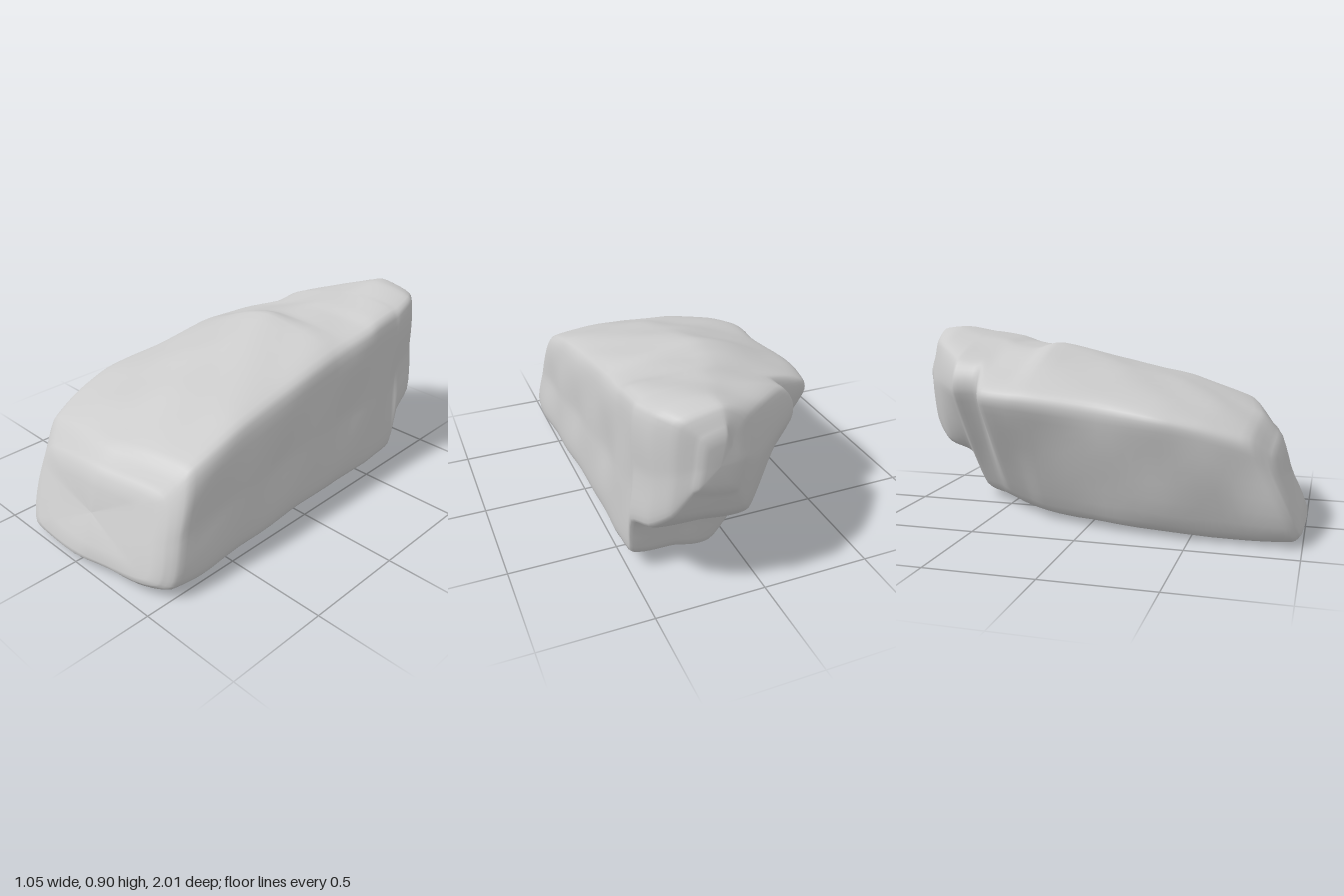
import * as THREE from 'three';

// Cross-sections from front to back:
// z, base y, base left x, left x, left y, top-left y, crown y, top-right y, right x
const SECTIONS = [
  [0.93, 0.045, -0.31, -0.38, 0.30, 0.40, 0.44, 0.43, 0.45],
  [0.885, 0.02, -0.34, -0.44, 0.41, 0.49, 0.53, 0.53, 0.50],
  [0.71, 0.015, -0.35, -0.49, 0.47, 0.55, 0.60, 0.59, 0.505],
  [0.40, 0.02, -0.34, -0.52, 0.51, 0.59, 0.665, 0.635, 0.50],
  [0.10, 0.03, -0.30, -0.48, 0.53, 0.64, 0.745, 0.69, 0.49],
  [-0.23, 0.03, -0.20, -0.475, 0.56, 0.68, 0.835, 0.75, 0.485],
  [-0.34, 0.03, -0.12, -0.47, 0.57, 0.68, 0.81, 0.77, 0.485],
  [-0.48, 0.04, -0.02, -0.43, 0.58, 0.69, 0.815, 0.79, 0.49],
  [-0.56, 0.05, 0.04, -0.27, 0.60, 0.75, 0.835, 0.81, 0.49],
  [-0.68, 0.07, 0.10, -0.26, 0.60, 0.76, 0.855, 0.83, 0.49],
  [-0.72, 0.25, 0.02, -0.22, 0.60, 0.77, 0.865, 0.835, 0.49],
  [-0.85, 0.31, 0.02, -0.08, 0.62, 0.81, 0.89, 0.855, 0.46],
  [-0.94, 0.40, 0.08, 0.03, 0.62, 0.81, 0.88, 0.84, 0.40],
  [-0.98, 0.52, 0.14, 0.11, 0.66, 0.76, 0.82, 0.79, 0.33],
];
const AROUND = 64;
const STEPS = 4; // rings per section

// Eight corners of one section, clockwise from the base left; the front leans and bows back
function corners([z, y0, bl, lx, ly, tl, top, tr, rx]) {
  const front = THREE.MathUtils.smoothstep(z, 0.3, 0.85);
  return [
    [bl, y0], [lx, ly], [lx + 0.06, tl], [Math.min((lx + rx) / 2 + 0.01, 0.2), top],
    [rx - 0.045 - 0.02 * z, tr], [rx - 0.005, (y0 + tr) / 2], [rx + 0.005, y0 + 0.03],
    [(bl + rx) / 2, y0],
  ].map(([x, y]) => new THREE.Vector3(x, y,
    z - front * (0.38 * (y - 0.3) + 0.18 * Math.abs(x + 0.1))));
}

// Gentle weathering made of layered waves
function weather(p) {
  const a = Math.sin(p.x * 9 + p.z * 5 + 1) * Math.sin(p.y * 11 - p.z * 7);
  const b = Math.sin(p.z * 15 + p.y * 8) * Math.sin(p.x * 17 - p.y * 6 + 2);
  return 0.004 * a + 0.005 * b;
}

function rockGeometry() {
  // Smooth lengthwise curves through the matching corners
  const grid = SECTIONS.map(corners);
  const rails = grid[0].map((_, k) =>
    new THREE.CatmullRomCurve3(grid.map((r) => r[k]), false, 'catmullrom', 0.3));
  const rings = [];
  const count = (SECTIONS.length - 1) * STEPS;
  for (let i = 0; i <= count; i++) {
    const loop = new THREE.CatmullRomCurve3(
      rails.map((r) => r.getPoint(i / count)), true, 'catmullrom', 0.3);
    rings.push(Array.from({ length: AROUND }, (_, j) => loop.getPoint(j / AROUND)));
  }

  // Close both ends with shrinking rings
  const centre = (ring) => ring.reduce((s, p) => s.add(p), new THREE.Vector3())
    .divideScalar(AROUND);
  const shrink = (ring, scale, dz) => {
    const c = centre(ring);
    return ring.map((p) => {
      const q = p.clone().sub(c).multiplyScalar(scale).add(c);
      q.z += dz;
      return q;
    });
  };
  const first = rings[0];
  const last = rings[rings.length - 1];
  rings.unshift(...[0, 0.3, 0.6, 0.88].map((s) => shrink(first, s, 0.035 - 0.02 * s * s)));
  rings.push(...[0.85, 0.6, 0.3, 0].map((s) => shrink(last, s, 0.01 * s * s - 0.022)));

  const positions = [];
  rings.forEach((ring, i) => {
    const c = centre(ring);
    const pole = i === 0 || i === rings.length - 1;
    ring.forEach((p) => {
      const w = weather(p);
      const out = p.clone().sub(c).normalize().multiplyScalar(pole ? 0 : w);
      positions.push(p.x + out.x, p.y + out.y, p.z + out.z + w * 0.7);
    });
  });
  const index = [];
  for (let i = 0; i < rings.length - 1; i++) {
    for (let j = 0; j < AROUND; j++) {
      const k = (j + 1) % AROUND;
      const a = i * AROUND + j, b = i * AROUND + k;
      index.push(a, b, a + AROUND, b, b + AROUND, a + AROUND);
    }
  }
  const geometry = new THREE.BufferGeometry();
  geometry.setAttribute('position', new THREE.Float32BufferAttribute(positions, 3));
  geometry.setIndex(index);

  // Rest on the ground
  geometry.computeBoundingBox();
  geometry.translate(0, -geometry.boundingBox.min.y, 0);
  geometry.computeVertexNormals();
  return geometry;
}

export function createModel() {
  const group = new THREE.Group();
  group.name = 'boulder';
  const rock = new THREE.Mesh(rockGeometry(),
    new THREE.MeshStandardMaterial({ color: 0xcccccc }));
  rock.name = 'rock';
  group.add(rock);
  return group;
}
